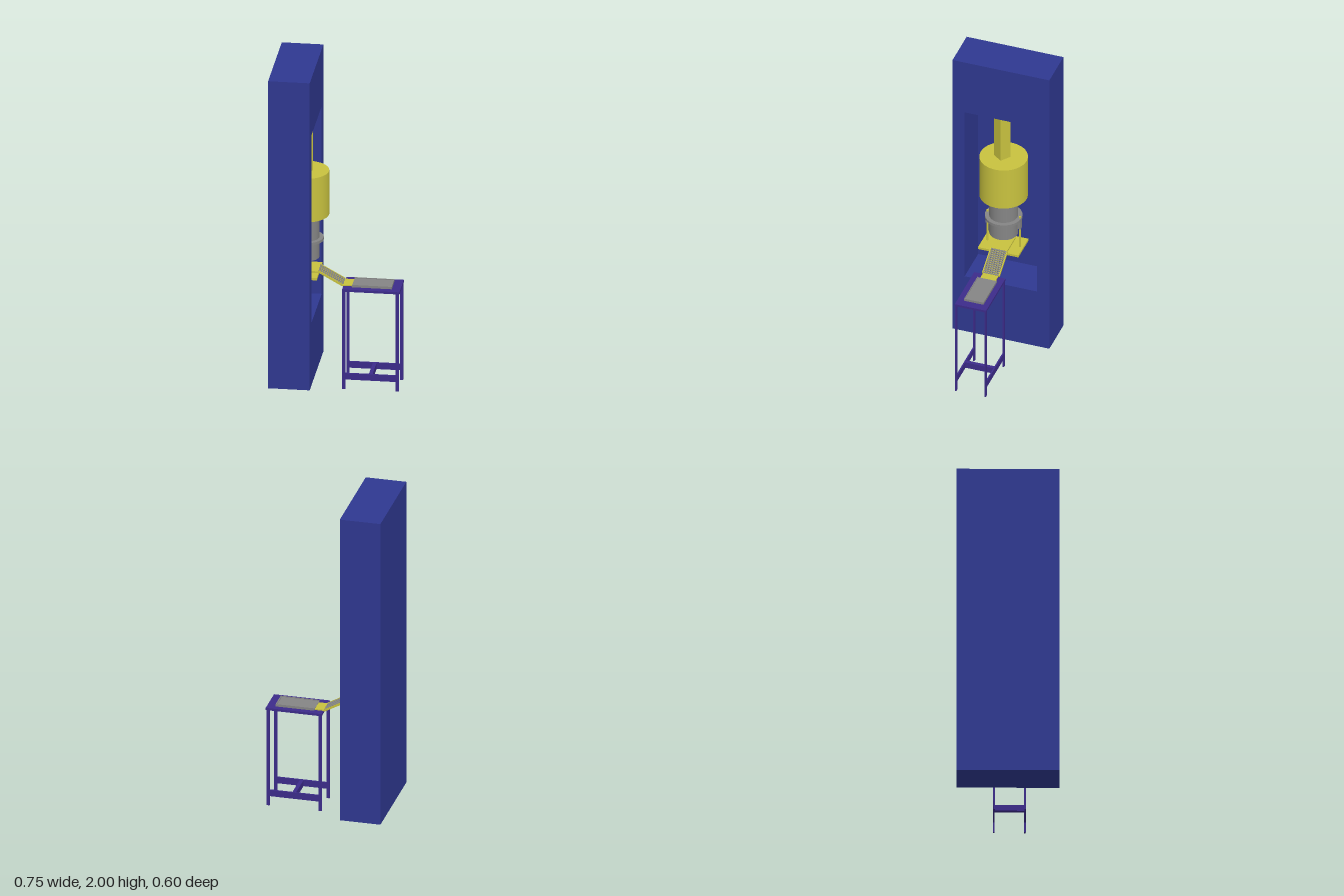
import * as THREE from 'three';

const mat = (color) => new THREE.MeshStandardMaterial({ color });
const blue = mat(0x2f3890), violet = mat(0x3c2b8a), yellow = mat(0xc8c23f), grey = mat(0x858585);

export function createModel() {
  const model = new THREE.Group();
  const add = (name, geometry, material, x = 0, y = 0, z = 0, parent = model) => {
    const mesh = new THREE.Mesh(geometry, material);
    mesh.name = name;
    mesh.position.set(x, y, z);
    parent.add(mesh);
    return mesh;
  };
  // Box given by its minimum and maximum on each axis
  const box = (name, material, x0, x1, y0, y1, z0, z1, parent = model) =>
    add(name, new THREE.BoxGeometry(x1 - x0, y1 - y0, z1 - z0), material,
      (x0 + x1) / 2, (y0 + y1) / 2, (z0 + z1) / 2, parent);
  // Upright cylinder between two heights, on the machine axis by default
  const AX = -0.197, AZ = 0.007;
  const drum = (name, material, r, y0, y1, x = AX, z = AZ) =>
    add(name, new THREE.CylinderGeometry(r, r, y1 - y0, 48), material, x, (y0 + y1) / 2, z);

  // Cabinet: frame with a window on the +x side, closed by a thin back panel
  const outline = new THREE.Shape([[-0.3, 0.06], [0.3, 0.06], [0.3, 2], [-0.3, 2]]
    .map(([a, b]) => new THREE.Vector2(a, b)));
  outline.holes.push(new THREE.Path([[-0.225, 0.455], [-0.225, 1.64], [0.225, 1.64], [0.225, 0.455]]
    .map(([a, b]) => new THREE.Vector2(a, b))));
  const frame = new THREE.ExtrudeGeometry(outline, { depth: 0.235, bevelEnabled: false });
  frame.rotateY(Math.PI / 2);
  add('cabinetFrame', frame, blue, -0.365);
  box('cabinetBack', blue, -0.375, -0.365, 0.06, 2, -0.3, 0.3);

  // Hanging post, turned about the vertical
  const post = add('hangingPost', new THREE.BoxGeometry(0.068, 0.31, 0.068), yellow, AX, 1.485, 0.016);
  post.rotation.y = -0.63;

  // Head: motor drum, body, flange and nozzle
  drum('motorDrum', yellow, 0.142, 1.055, 1.33);
  drum('body', grey, 0.085, 0.785, 1.055);
  drum('flange', grey, 0.11, 0.893, 0.91);
  drum('nozzle', grey, 0.011, 0.735, 0.785);

  // Platform hung from the flange by two rods with clamps
  for (const s of [-1, 1]) {
    const z = AZ + s * 0.1;
    drum('supportRod', yellow, 0.006, 0.69, 0.92, AX, z);
    box('rodClamp', grey, AX - 0.012, AX + 0.012, 0.835, 0.9, z - 0.009, z + 0.009);
  }
  box('platform', yellow, -0.287, -0.11, 0.688, 0.702, -0.115, 0.135);
  box('platformTray', yellow, -0.26, -0.112, 0.702, 0.713, -0.043, 0.057);

  // Sloping chute with side rails and a bed of rollers
  const x0 = -0.115, y0 = 0.712, x1 = 0.032, y1 = 0.63;
  const len = Math.hypot(x1 - x0, y1 - y0);
  const chute = new THREE.Group();
  chute.name = 'chute';
  chute.position.set((x0 + x1) / 2, (y0 + y1) / 2, 0.005);
  chute.rotation.z = Math.atan2(y1 - y0, x1 - x0);
  model.add(chute);
  const h = len / 2;
  box('chuteBed', yellow, -h, h, -0.004, 0, -0.054, 0.054, chute);
  for (const s of [-1, 1]) {
    const z = s * 0.051;
    box('chuteRail', yellow, -h, h, -0.004, 0.008, z - 0.003, z + 0.003, chute);
  }
  const roller = new THREE.CylinderGeometry(0.005, 0.005, 0.094, 10).rotateX(Math.PI / 2);
  const count = 13;
  for (let i = 0; i < count; i++)
    add('roller', roller, grey, -h + (i + 0.5) * len / count, 0.003, 0, chute);
  box('chuteLip', yellow, 0.028, 0.09, 0.626, 0.635, -0.042, 0.052);

  // Table with a rimmed plate
  box('tableTop', violet, 0.035, 0.373, 0.614, 0.628, -0.087, 0.107);
  box('plate', grey, 0.088, 0.322, 0.628, 0.638, -0.053, 0.067);
  for (const z of [-0.053, 0.063])
    box('plateSideRim', grey, 0.088, 0.322, 0.638, 0.643, z, z + 0.004);
  box('plateEndRim', grey, 0.315, 0.322, 0.638, 0.643, -0.049, 0.063);

  // Legs and H-shaped stretchers
  for (const z of [-0.084, 0.098]) {
    for (const x of [0.035, 0.351])
      box('tableLeg', violet, x, x + 0.019, 0, 0.614, z, z + 0.009);
    box('sideStretcher', violet, 0.054, 0.351, 0.06, 0.1, z, z + 0.009);
  }
  box('crossStretcher', violet, 0.192, 0.214, 0.062, 0.1, -0.075, 0.098);

  return model;
}
